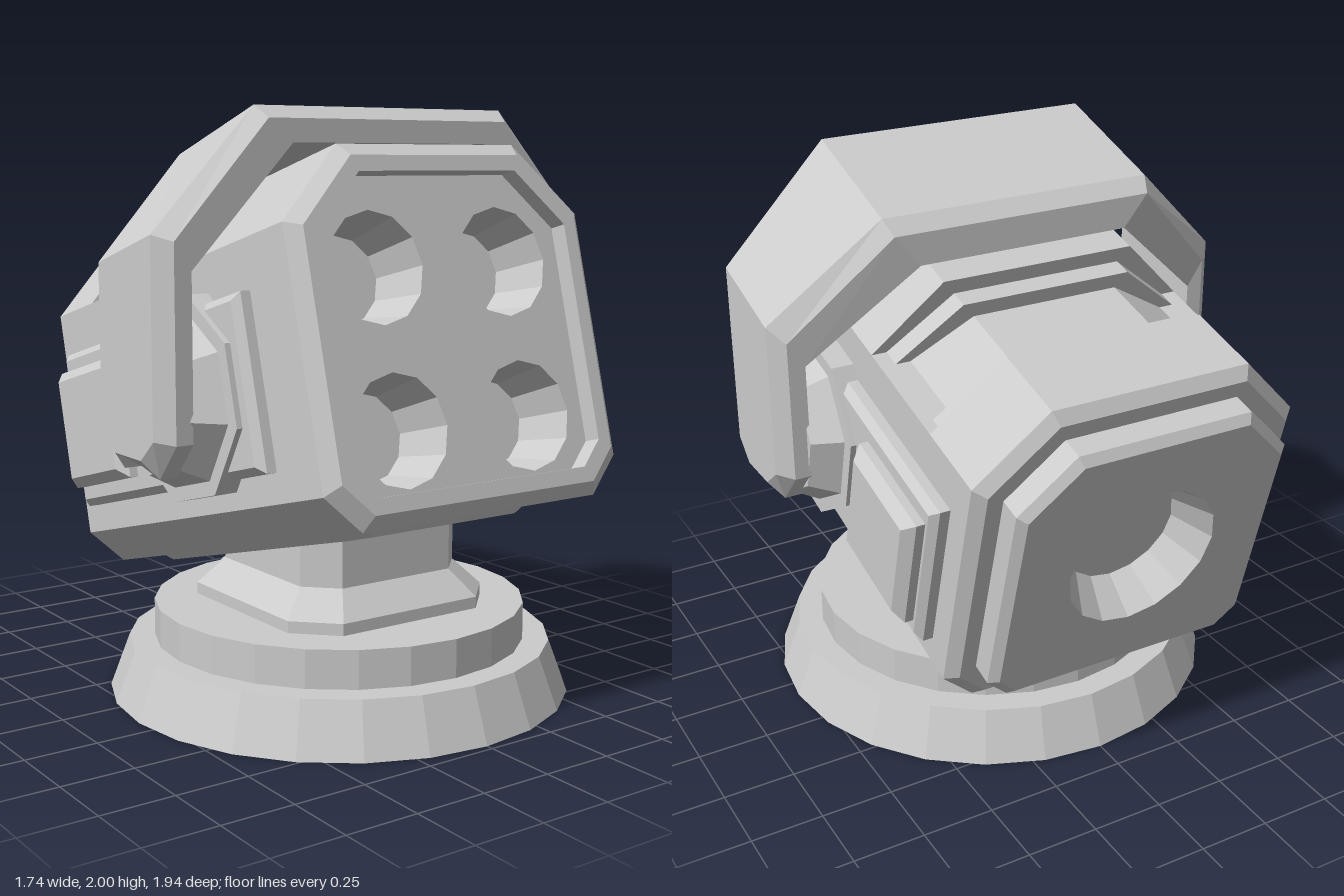
import * as THREE from 'three';

const material = new THREE.MeshStandardMaterial({ color: 0xcccccc, flatShading: true });
const openMaterial = new THREE.MeshStandardMaterial({ color: 0xcccccc, flatShading: true, side: THREE.DoubleSide });

function add(parent, name, geometry, x = 0, y = 0, z = 0, mat = material) {
  const mesh = new THREE.Mesh(geometry, mat);
  mesh.name = name;
  mesh.position.set(x, y, z);
  parent.add(mesh);
  return mesh;
}

// Skin a row of rings; each ring runs counter-clockwise seen from the first ring's side
function loft(rings, capStart = true, capEnd = true) {
  const n = rings[0].length, index = [], last = (rings.length - 1) * n;
  for (let r = 0; r < rings.length - 1; r++) {
    for (let j = 0; j < n; j++) {
      const a = r * n + j, b = r * n + (j + 1) % n;
      index.push(a, a + n, b + n, a, b + n, b);
    }
  }
  for (let j = 1; j < n - 1; j++) {
    if (capStart) index.push(0, j, j + 1);
    if (capEnd) index.push(last, last + j + 1, last + j);
  }
  const geometry = new THREE.BufferGeometry();
  geometry.setAttribute('position', new THREE.Float32BufferAttribute(rings.flat(2), 3));
  geometry.setIndex(index);
  const flat = geometry.toNonIndexed();
  flat.computeVertexNormals();
  return flat;
}

// Chamfered rectangle ring at height z
function chamferRing(w, d, c, z) {
  return [[w - c, -d], [w, -d + c], [w, d - c], [w - c, d], [-w + c, d], [-w, d - c], [-w, -d + c], [-w + c, -d]]
    .map(([x, y]) => [x, y, z]);
}

// Plate with a bevelled rim, rising along +z
function bevelPlate(w, d, height, bevel, c = 0) {
  return loft([
    chamferRing(w - bevel, d - bevel, c, height),
    chamferRing(w, d, c, height - bevel),
    chamferRing(w, d, c, 0),
  ]);
}

// Head cross-section: inset shrinks the outline, groove lowers the top and its chamfers
function headRing(z, inset = 0, groove = 0) {
  const w = 0.59 - inset, top = 0.676 - inset, bottom = -0.496 + inset;
  const ct = 0.235 - 0.55 * inset, cb = 0.12 - 0.4 * inset;
  const half = [
    [w - cb, bottom], [w, bottom + cb], [w, top - ct],
    [w - groove, top - ct], [w - ct - 0.8 * groove, top - groove],
  ];
  const mirrored = half.map(([x, y]) => [-x, y]).reverse();
  return [...half, ...mirrored].map(([x, y]) => [x, y, z]);
}

// Flat face of the head with round openings
function headFace(inset, holes, sides) {
  const points = headRing(0, inset).filter((_, i) => i !== 3 && i !== 6);
  const shape = new THREE.Shape(points.map(([x, y]) => new THREE.Vector2(x, y)));
  for (const [x, y, r] of holes) {
    const ring = [];
    for (let i = 0; i < sides; i++) {
      const a = -i / sides * Math.PI * 2;
      ring.push(new THREE.Vector2(x + r * Math.cos(a), y + r * Math.sin(a)));
    }
    shape.holes.push(new THREE.Path(ring));
  }
  return new THREE.ShapeGeometry(shape);
}

// Tapered round recess sinking from z; dir is +1 for front openings, -1 for rear ones
function socket(parent, name, x, y, z, r, rInner, depth, sides, dir) {
  const group = new THREE.Group();
  group.name = name;
  group.position.set(x, y, z);
  if (dir < 0) group.rotation.y = Math.PI;
  const wall = new THREE.CylinderGeometry(r, rInner, depth, sides, 1, true).rotateX(Math.PI / 2);
  add(group, name + 'Wall', wall, 0, 0, -depth / 2, openMaterial);
  add(group, name + 'Floor', new THREE.CircleGeometry(rInner, sides), 0, 0, -depth);
  parent.add(group);
}

function buildBase(model) {
  const base = new THREE.Group();
  base.name = 'base';
  base.position.z = 0.17;
  add(base, 'foot', new THREE.CylinderGeometry(0.74, 0.807, 0.18, 24), 0, 0.09, 0);
  add(base, 'turntable', new THREE.CylinderGeometry(0.65, 0.65, 0.13, 24), 0, 0.245, 0);
  const neck = loft([
    chamferRing(0.325, 0.335, 0.1, 0.78),
    chamferRing(0.325, 0.335, 0.1, 0.44),
    chamferRing(0.41, 0.418, 0.13, 0.35),
    chamferRing(0.41, 0.418, 0.13, 0.31),
  ]).rotateX(-Math.PI / 2);
  add(base, 'neck', neck);
  model.add(base);
}

function buildHead(model) {
  const head = new THREE.Group();
  head.name = 'head';
  head.position.set(0, 1.07, 0.23);
  head.rotation.x = -Math.PI / 12;

  // Housing with front rim, stepped top groove and stepped rear plate
  add(head, 'housing', loft([
    headRing(0.585, 0.095), headRing(0.646, 0.095), headRing(0.646, 0.045), headRing(0.606),
    headRing(-0.254), headRing(-0.254, 0, 0.053), headRing(-0.323, 0, 0.053),
    headRing(-0.323, 0, 0.106), headRing(-0.617, 0, 0.106),
    headRing(-0.617, 0, 0.04), headRing(-0.677, 0, 0.04), headRing(-0.677),
    headRing(-0.952), headRing(-0.986, 0.04), headRing(-0.986, 0.095),
    headRing(-1.065, 0.095), headRing(-1.09, 0.125),
  ], false, false));

  // Four front openings
  const holes = [];
  for (const x of [-0.255, 0.255]) for (const y of [-0.21, 0.295]) holes.push([x, y, 0.18]);
  add(head, 'frontPanel', headFace(0.095, holes, 12), 0, 0, 0.585);
  for (const [x, y, r] of holes) socket(head, 'launchTube', x, y, 0.585, r, 0.145, 0.2, 12, 1);

  // Rear opening
  add(head, 'rearPanel', headFace(0.125, [[0, 0.09, 0.27]], 16), 0, 0, -1.09).rotation.y = Math.PI;
  socket(head, 'exhaust', 0, 0.09, -1.09, 0.27, 0.2, 0.14, 16, -1);

  // Plate under the housing
  add(head, 'bellyPlate', bevelPlate(0.38, 0.645, 0.07, 0.025, 0.06), 0, -0.45, -0.215).rotation.x = Math.PI / 2;

  // Side panels, raised hatches and pivots
  for (const s of [1, -1]) {
    const turn = s * Math.PI / 2;
    add(head, 'sidePanel', bevelPlate(0.617, 0.28, 0.07, 0.025), s * 0.58, 0, -0.237).rotation.y = turn;
    add(head, 'sideHatch', bevelPlate(0.21, 0.21, 0.075, 0.035), s * 0.64, 0, -0.607).rotation.y = turn;
    const octagon = (r1, r2, h) => new THREE.CylinderGeometry(r1, r2, h, 8).rotateY(Math.PI / 8);
    add(head, 'pivotPlate', octagon(0.345, 0.345, 0.09), s * 0.625, 0, 0).rotation.z = -turn;
    add(head, 'pivot', octagon(0.24, 0.3, 0.11), s * 0.715, 0, 0).rotation.z = -turn;
  }
  model.add(head);
}

// Arched guard: each station is inner back, bevel back, outer back, outer front, bevel front, inner front
function buildYoke(model) {
  const half = [
    [[0.76, 0.85, 0.13], [0.82, 0.85, 0.13], [0.87, 0.91, 0.16], [0.87, 0.91, 0.33], [0.82, 0.85, 0.36], [0.76, 0.85, 0.36]],
    [[0.76, 0.97, 0.02], [0.82, 0.97, 0.02], [0.87, 0.98, 0.07], [0.87, 0.98, 0.41], [0.82, 0.97, 0.466], [0.76, 0.97, 0.466]],
    [[0.76, 1.37, 0.02], [0.82, 1.46, 0.02], [0.87, 1.51, 0.07], [0.87, 1.61, 0.41], [0.82, 1.59, 0.466], [0.76, 1.5, 0.466]],
    [[0.39, 1.69, -0.1], [0.48, 1.8, -0.1], [0.5, 1.85, -0.05], [0.5, 2, 0.41], [0.48, 1.96, 0.466], [0.39, 1.885, 0.466]],
  ];
  const mirrored = half.map(ring => ring.map(([x, y, z]) => [-x, y, z])).reverse();
  add(model, 'yoke', loft([...half, ...mirrored]));
}

export function createModel() {
  const model = new THREE.Group();
  model.name = 'turret';
  buildBase(model);
  buildHead(model);
  buildYoke(model);
  return model;
}
